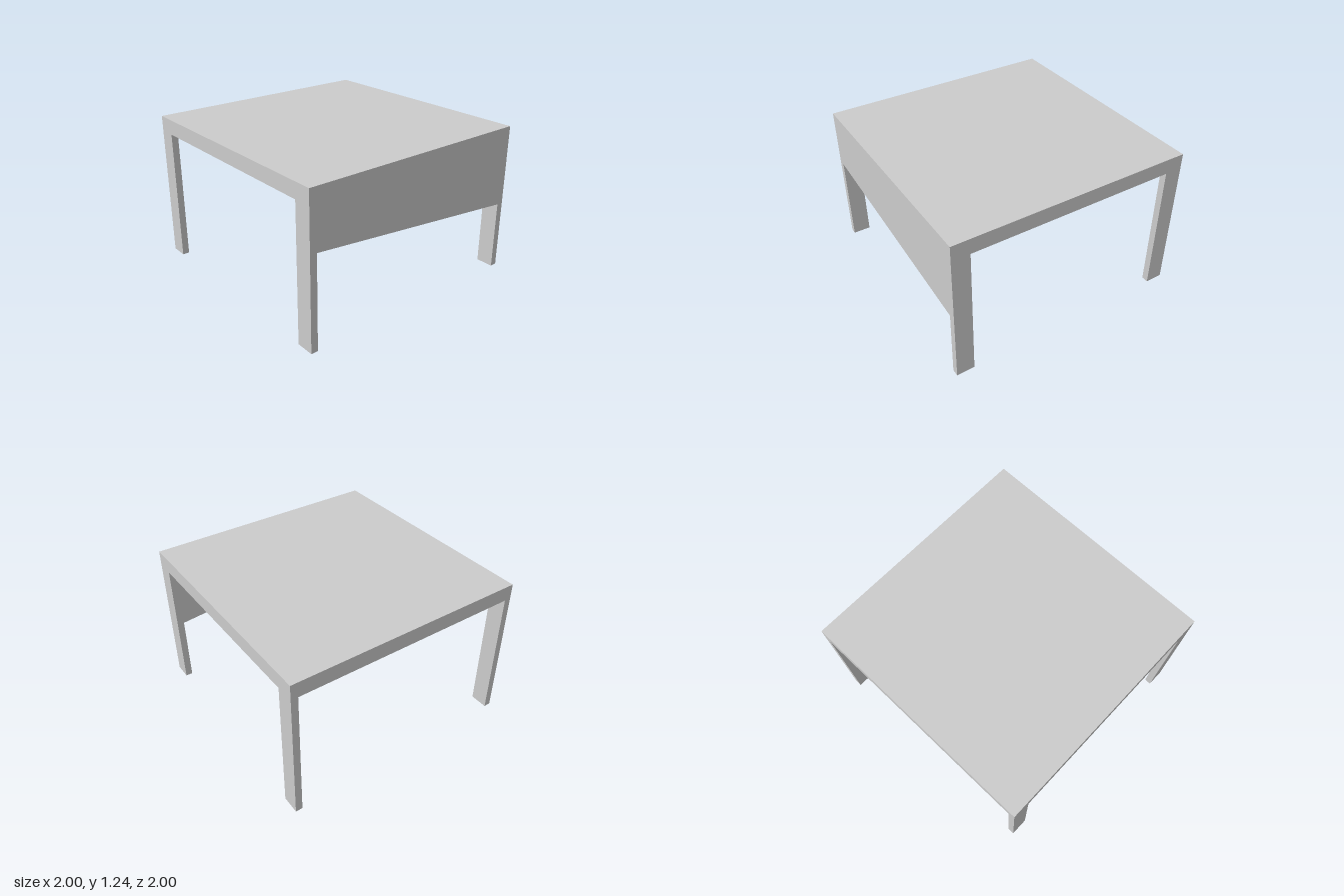
import * as THREE from 'three';

const TOP = 1.235, UNDER = 1.11;      // tabletop upper and lower faces
const LEG_W = 0.147, LEG_D = 0.057;   // leg width (x) and depth (z)

export function createModel() {
  const group = new THREE.Group();
  const material = new THREE.MeshStandardMaterial({ color: 0xcccccc, flatShading: true });

  const add = (name, geometry, x = 0, y = 0, z = 0) => {
    const mesh = new THREE.Mesh(geometry, material);
    mesh.name = name;
    mesh.position.set(x, y, z);
    group.add(mesh);
  };

  // Flat square top
  add('tabletop', new THREE.BoxGeometry(2, TOP - UNDER, 2), 0, (TOP + UNDER) / 2, 0);

  // Four flat legs, flush with the corners
  const leg = new THREE.BoxGeometry(LEG_W, UNDER, LEG_D);
  for (const [side, sx] of [['Left', 1], ['Right', -1]]) {
    for (const [end, sz] of [['front', 1], ['back', -1]]) {
      add(`${end}${side}Leg`, leg, sx * (1 - LEG_W / 2), UNDER / 2, sz * (1 - LEG_D / 2));
    }
  }

  // Deep side panel on +x only, its lower edge sloping down to the back
  const z = 1 - LEG_D;
  const profile = new THREE.Shape([
    new THREE.Vector2(-z, 0.575),
    new THREE.Vector2(z, 0.765),
    new THREE.Vector2(z, UNDER),
    new THREE.Vector2(-z, UNDER),
  ]);
  const panel = new THREE.ExtrudeGeometry(profile, { depth: LEG_W, bevelEnabled: false });
  panel.rotateY(-Math.PI / 2); // profile runs along z, thickness towards -x
  add('sidePanel', panel, 1, 0, 0);

  return group;
}
